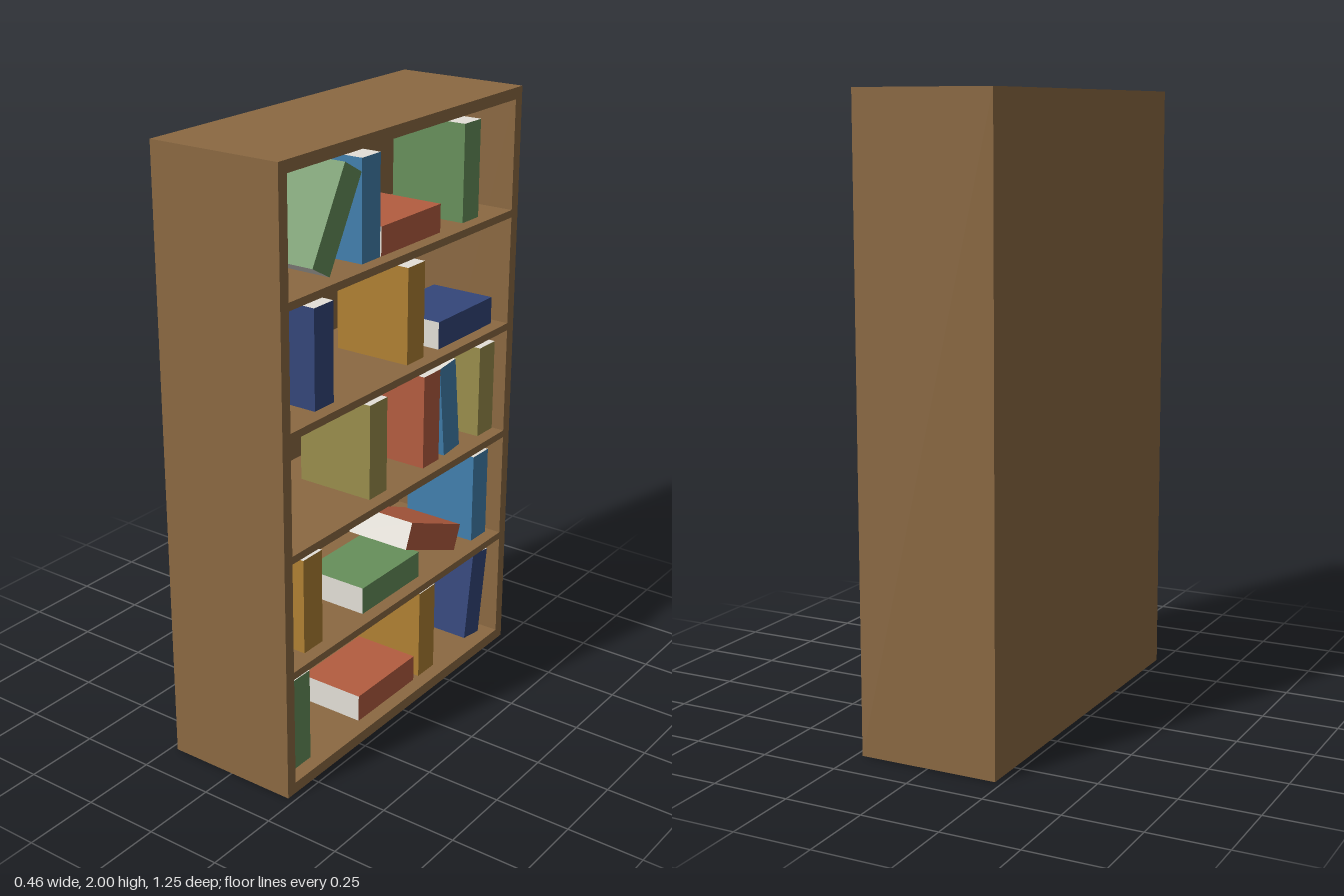
import * as THREE from 'three';

const mat = (color) => new THREE.MeshStandardMaterial({ color });
const WOOD = mat(0x8b6942), PAGES = mat(0xe4e0d8);
const COVER = {
  green: mat(0x67905b), blue: mat(0x4280ae), red: mat(0xb45d40),
  navy: mat(0x34467a), amber: mat(0xb08133), olive: mat(0x9a8e4c),
};

const W = 0.455, H = 2, D = 1.25; // depth (x), height, width (z)
const WALL = 0.0375, SHELF = 0.025, PITCH = 0.39;
const BOOK_H = 0.318, BOOK_T = 0.092, SPINE_X = 0.183;

function board(name, w, h, d, x, y, z) {
  const m = new THREE.Mesh(new THREE.BoxGeometry(w, h, d), WOOD);
  m.name = name;
  m.position.set(x, y, z);
  return m;
}

// Spine faces +x, covers face z, page edges show at top, bottom and back.
function book(color, depth, y, z, angle) {
  const c = COVER[color];
  const m = new THREE.Mesh(
    new THREE.BoxGeometry(depth, BOOK_H, BOOK_T),
    [c, PAGES, PAGES, PAGES, c, c],
  );
  m.name = `${color}Book`;
  m.position.set(SPINE_X - depth / 2, y, z);
  m.rotation.x = angle;
  return m;
}

// Per shelf, bottom to top: [color, z, pose, height of centre above shelf]
// pose: 'up', 'flat', or a lean angle in radians
const ROWS = [
  [['green', 0.5, 'up'], ['red', 0.035, 'flat'], ['amber', -0.2, 'up'], ['navy', -0.513, -0.14, 0.165]],
  [['amber', 0.433, 'up'], ['green', 0.015, 'flat'], ['red', -0.232, Math.PI / 2 - 0.39, 0.112], ['blue', -0.518, 'up']],
  [['olive', 0.093, 'up'], ['red', -0.205, 'up'], ['blue', -0.312, 0.11, 0.165], ['olive', -0.538, 'up']],
  [['navy', 0.37, 'up'], ['amber', -0.105, 'up'], ['navy', -0.395, 'flat']],
  [['green', 0.304, -0.51, 0.162], ['blue', 0.138, 'up'], ['red', -0.073, 'flat'], ['green', -0.407, 'up']],
];

export function createModel() {
  const root = new THREE.Group();
  root.name = 'bookcase';

  // Case
  const inner = D - 2 * WALL;
  for (const s of [1, -1]) {
    root.add(board(s > 0 ? 'frontSidePanel' : 'rearSidePanel', W, H, WALL, 0, H / 2, s * (D - WALL) / 2));
  }
  root.add(board('bottomPanel', W, WALL, inner, 0, WALL / 2, 0));
  root.add(board('topPanel', W, WALL, inner, 0, H - WALL / 2, 0));
  root.add(board('backPanel', SHELF, H - 2 * WALL, inner, -(W - SHELF) / 2, H / 2, 0));

  // Shelves and books
  ROWS.forEach((row, i) => {
    const base = WALL + 0.003 + i * PITCH;
    if (i > 0) root.add(board('shelf', W - SHELF, SHELF, inner, SHELF / 2, base - SHELF / 2, 0));
    for (const [color, z, pose, lift] of row) {
      if (pose === 'up') root.add(book(color, 0.27, base + BOOK_H / 2, z, 0));
      else if (pose === 'flat') root.add(book(color, 0.23, base + BOOK_T / 2, z, Math.PI / 2));
      else root.add(book(color, pose > 1 ? 0.23 : 0.27, base + lift, z, pose));
    }
  });
  return root;
}
